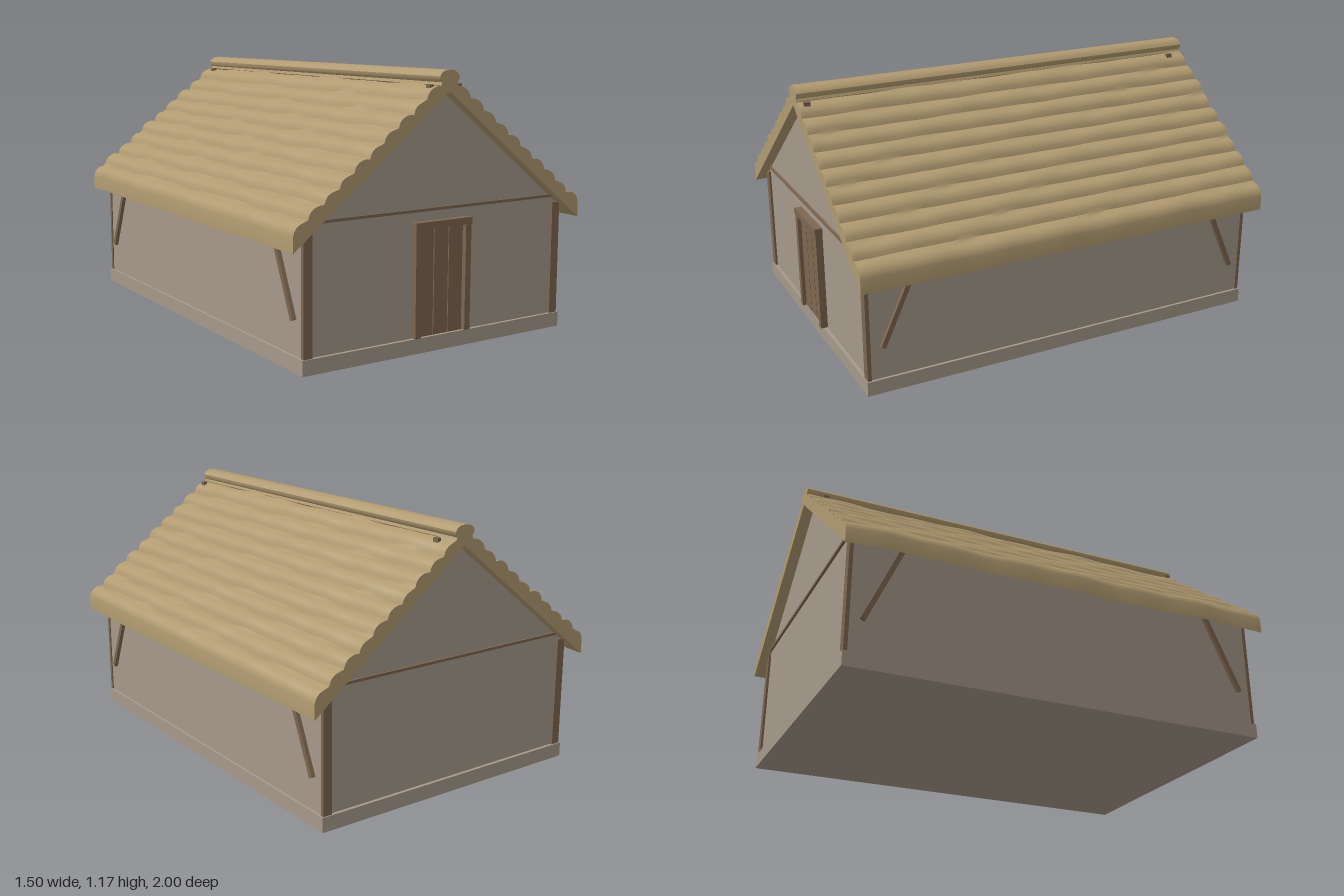
import * as THREE from 'three';
import { toCreasedNormals } from 'three/addons/utils/BufferGeometryUtils.js';

const material = (name, color) => Object.assign(new THREE.MeshStandardMaterial({ color }), { name });

export function createModel() {
  const model = new THREE.Group();
  const plaster = material('plaster', 0xa6998a);
  const wood = material('wood', 0x7c6650);
  const thatch = material('thatch', 0xb09a70);

  const add = (name, geometry, mat, parent = model) => {
    const mesh = new THREE.Mesh(geometry, mat);
    mesh.name = name;
    parent.add(mesh);
    return mesh;
  };
  // Box given by its lower and upper corners
  const box = (name, mat, x0, x1, y0, y1, z0, z1, parent) => {
    const mesh = add(name, new THREE.BoxGeometry(x1 - x0, y1 - y0, z1 - z0), mat, parent);
    mesh.position.set((x0 + x1) / 2, (y0 + y1) / 2, (z0 + z1) / 2);
    return mesh;
  };
  // Closed outline pulled along z, centred
  const prism = (points, length, steps = 1) =>
    new THREE.ExtrudeGeometry(new THREE.Shape(points.map(([x, y]) => new THREE.Vector2(x, y))),
      { depth: length, steps, bevelEnabled: false }).translate(0, 0, -length / 2);
  const mirrored = (half) => [...half, ...half.slice().reverse().filter(([x]) => x > 0).map(([x, y]) => [-x, y])];

  // Footing and gabled walls
  box('footing', plaster, -0.68, 0.68, 0, 0.065, -0.965, 0.965);
  add('walls', prism(mirrored([[0.668, 0.06], [0.668, 0.56], [0, 1.084]]), 1.9), plaster);

  // Corner boards and tie beams on both gable ends, braces under the eaves
  for (const end of [1, -1]) {
    const z0 = end > 0 ? 0.943 : -0.96;
    for (const side of [1, -1]) {
      const cx = side * 0.652;
      box('cornerPost', wood, cx - 0.021, cx + 0.021, 0.065, 0.57, z0, z0 + 0.017);

      const low = new THREE.Vector2(0.89, 0.21), high = new THREE.Vector2(0.735, 0.55);
      const brace = add('eaveBrace', new THREE.BoxGeometry(0.018, low.distanceTo(high), 0.022), wood);
      brace.position.set(side * 0.676, (low.y + high.y) / 2, end * (low.x + high.x) / 2);
      brace.rotation.x = -end * Math.atan2(low.x - high.x, high.y - low.y);
    }
    box('tieBeam', wood, -0.62, 0.62, 0.595, 0.607, z0, z0 + 0.017);
  }

  // Door: three planks in a raised frame
  const door = new THREE.Group();
  door.name = 'door';
  model.add(door);
  box('doorBacking', wood, -0.117, 0.117, 0.07, 0.525, 0.945, 0.957, door);
  for (let i = 0; i < 3; i++) {
    const x = -0.115 + i * 0.077;
    box('doorPlank', wood, x, x + 0.073, 0.07, 0.525, 0.95, 0.965, door);
  }
  box('doorJamb', wood, -0.145, -0.116, 0.07, 0.53, 0.945, 0.982, door);
  box('doorJamb', wood, 0.116, 0.145, 0.07, 0.53, 0.945, 0.982, door);
  box('doorLintel', wood, -0.148, 0.146, 0.525, 0.555, 0.945, 0.985, door);

  // Thatch outline: straight underside, scalloped courses above
  const courses = 10, perCourse = 6;
  const half = [[0.745, 0.5]];
  const eave = [0.745, 0.566], top = [0.042, 1.108];
  for (let i = 0; i <= courses * perCourse; i++) {
    const t = i / (courses * perCourse), s = (i % perCourse) / perCourse;
    const bump = 0.017 * Math.sin(Math.PI * Math.pow(s, 0.85));
    half.push([
      eave[0] + (top[0] - eave[0]) * t + bump * 0.61,
      eave[1] + (top[1] - eave[1]) * t + bump * 0.79,
    ]);
  }
  half[1][0] = 0.745;
  half.push([0, 1.13]);
  const roof = prism([...mirrored(half), [0, 1.085]], 2, 60);

  // Uneven straw: slow waves along each course, leaving the underside straight
  const p = roof.attributes.position;
  for (let i = 0; i < p.count; i++) {
    const x = p.getX(i), y = p.getY(i), z = p.getZ(i), ax = Math.abs(x);
    const lowerEdge = ax > 0.744;
    if (!lowerEdge && y < 1.1 - ax * 0.785) continue;
    if (ax < 0.03) continue;
    const course = Math.floor((0.746 - ax) / 0.0703) + (x < 0 ? 20 : 0);
    const wave = 0.0028 * Math.sin(z * 9 + course * 2.3) + 0.002 * Math.sin(z * 21 + course * 4.1);
    p.setX(i, x + Math.sign(x) * wave * 0.7);
    p.setY(i, y + wave * 0.8);
  }
  add('thatchedRoof', toCreasedNormals(roof, 0.6), thatch);

  // Rolled ridge cap
  const ridge = mirrored([[0.025, 1.09], [0.045, 1.11], [0.04, 1.122], [0.049, 1.132],
    [0.051, 1.146], [0.043, 1.158], [0.027, 1.168], [0, 1.172]]);
  add('ridgeRoll', toCreasedNormals(prism(ridge, 2), 0.6), thatch);

  // Small pegs holding the thatch near the ridge
  for (const z of [0.962, -0.915]) {
    for (const side of [1, -1]) {
      const x = side * 0.073;
      box('ridgePeg', wood, x - 0.009, x + 0.009, 1.07, 1.113, z - 0.014, z + 0.014);
    }
  }
  return model;
}
